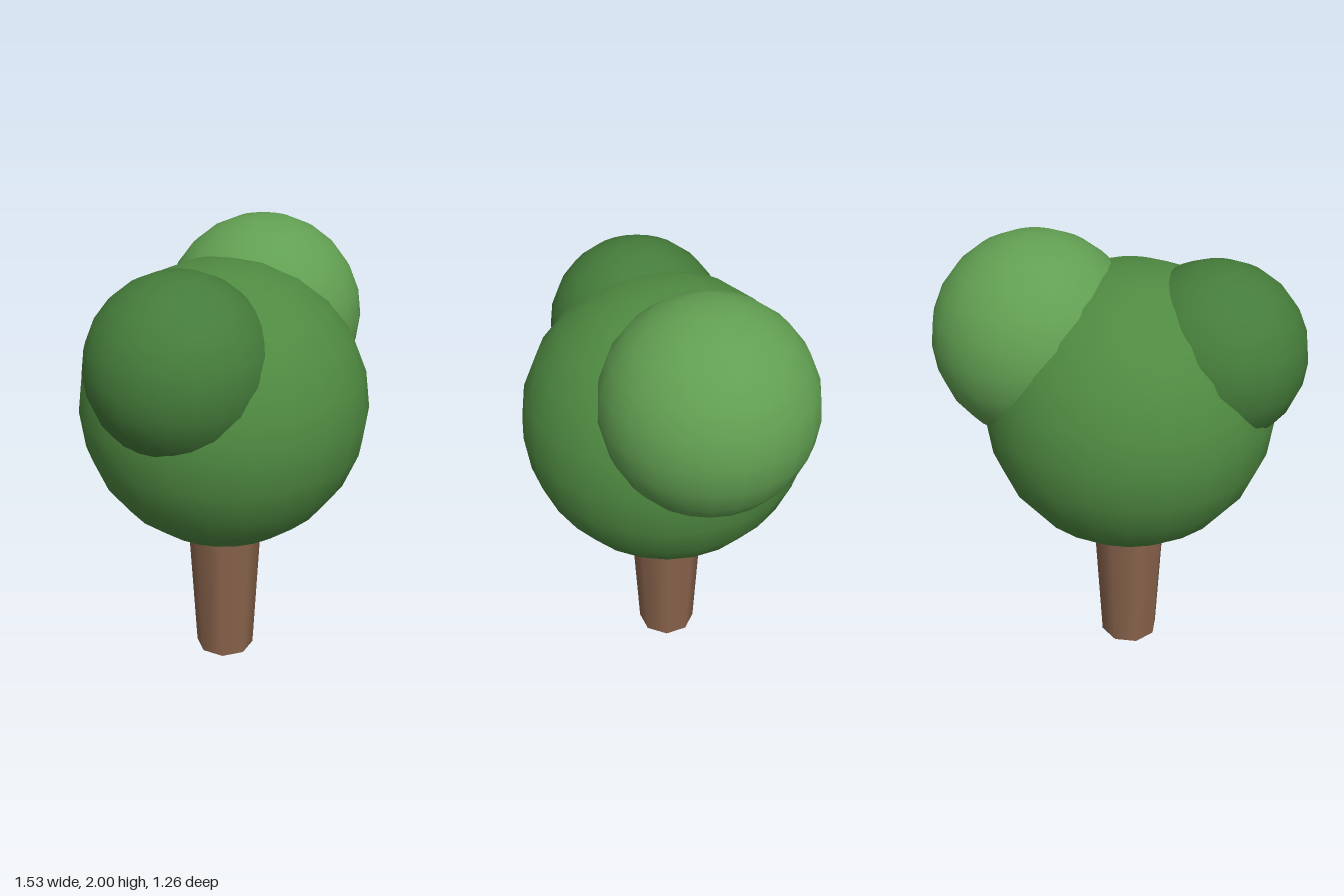
import * as THREE from 'three';

export function createModel() {
  const tree = new THREE.Group();
  tree.name = 'tree';

  const add = (name, geometry, color, x, y, z) => {
    const mesh = new THREE.Mesh(geometry, new THREE.MeshStandardMaterial({ color }));
    mesh.name = name;
    mesh.position.set(x, y, z);
    tree.add(mesh);
  };

  // Eight-sided trunk, widening upward into the crown
  const trunkHeight = 0.8;
  add('trunk', new THREE.CylinderGeometry(0.177, 0.135, trunkHeight, 8), 0x8a644c, -0.045, trunkHeight / 2, 0);

  // Three overlapping balls of foliage: name, radius, colour, centre
  const foliage = [
    ['mainFoliage', 0.632, 0x4f8a41, -0.045, 1.25, 0],
    ['leftFoliage', 0.445, 0x62a052, 0.32, 1.555, -0.16],
    ['rightFoliage', 0.388, 0x457c3a, -0.38, 1.523, 0.125],
  ];
  for (const [name, radius, color, x, y, z] of foliage) {
    add(name, new THREE.SphereGeometry(radius, 24, 12), color, x, y, z);
  }

  return tree;
}
